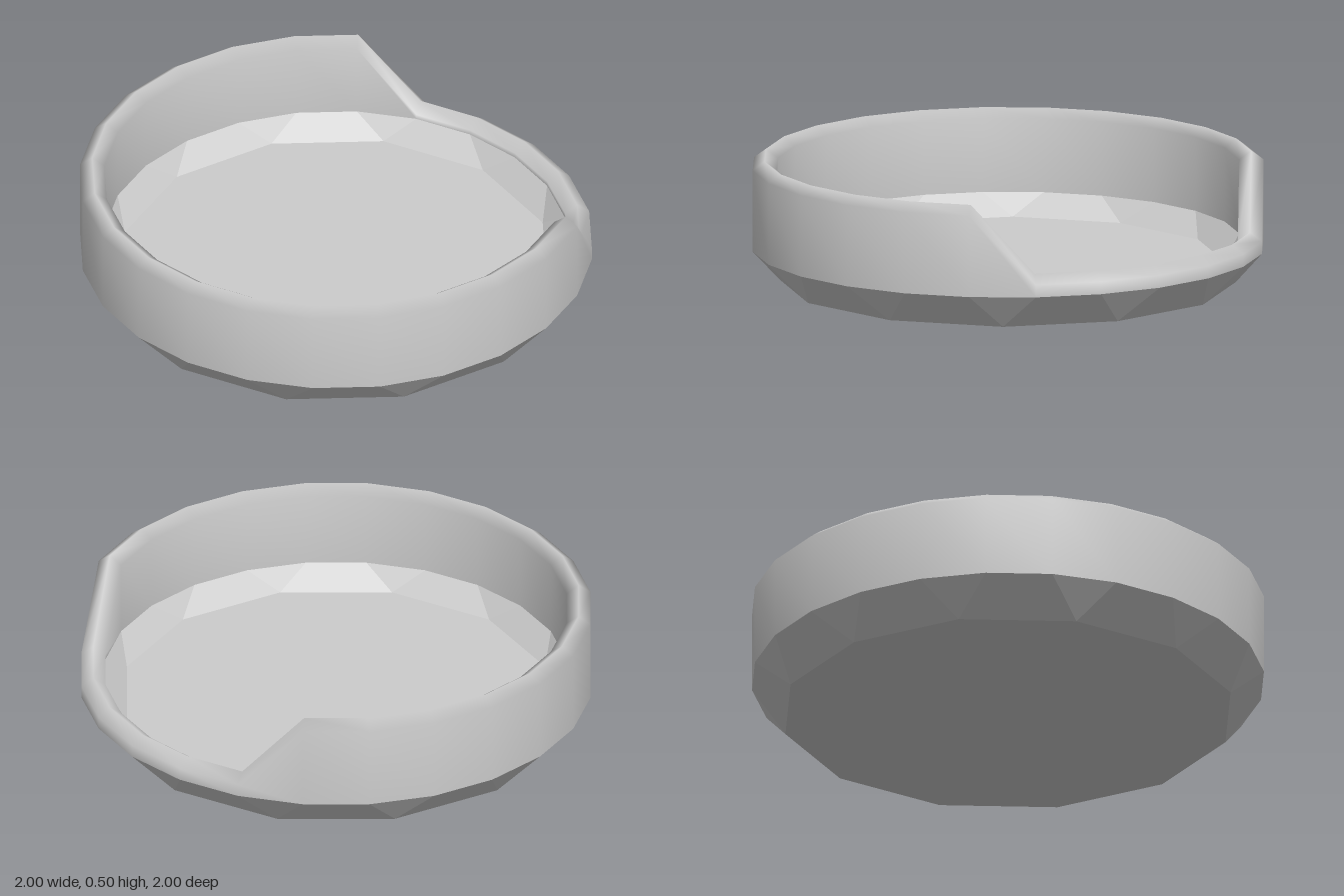
import * as THREE from 'three';

const STEP = Math.PI / 12;
const material = new THREE.MeshStandardMaterial({ color: 0xcccccc });

// Point on a circle; the angle runs from +x towards +z
const polar = (r, y, a) => [r * Math.cos(a), y, r * Math.sin(a)];

// Rim height of each of the 24 columns: low at the entrance, high elsewhere
const rimHeight = (i) => (i <= 3 || i >= 22 ? 0.225 : 0.5);

function mesh(name, geometry) {
  const m = new THREE.Mesh(geometry, material);
  m.name = name;
  return m;
}

// Smooth wall with a rounded rim: outer face, rim, inner face
function wallGeometry() {
  const pos = [], index = [], n = 5;
  for (let i = 0; i < 24; i++) {
    const a = (i + 0.5) * STEP, h = rimHeight(i);
    const profile = [[1.0086, 0.14], [1.0086, h - 0.035], [0.961, h], [0.913, h - 0.035], [0.913, 0.17]];
    for (const [r, y] of profile) pos.push(...polar(r, y, a));
    for (let j = 0; j < n - 1; j++) {
      const p = i * n + j, q = ((i + 1) % 24) * n + j;
      index.push(p, p + 1, q + 1, p, q + 1, q);
    }
  }
  const g = new THREE.BufferGeometry();
  g.setAttribute('position', new THREE.Float32BufferAttribute(pos, 3));
  g.setIndex(index);
  g.computeVertexNormals();
  return g;
}

// Flat facets joining a 12-sided lower ring to the 24-sided wall
function facetGeometry(rLow, yLow, rHigh, yHigh, inward) {
  const pos = [];
  const tri = (a, b, c) => pos.push(...a, ...(inward ? c : b), ...(inward ? b : c));
  for (let k = 0; k < 12; k++) {
    const low = (s) => polar(rLow, yLow, (2 * k + s) * STEP);
    const high = (s) => polar(rHigh, yHigh, (2 * k + s) * STEP);
    tri(low(0), high(-0.5), high(0.5));
    tri(low(0), high(0.5), high(1.5));
    tri(low(0), high(1.5), low(2));
  }
  const g = new THREE.BufferGeometry();
  g.setAttribute('position', new THREE.Float32BufferAttribute(pos, 3));
  g.computeVertexNormals();
  return g;
}

// Flat 12-sided disc facing up or down
const discGeometry = (r, y, up) =>
  new THREE.CircleGeometry(r, 12).rotateX(up ? -Math.PI / 2 : Math.PI / 2).translate(0, y, 0);

export function createModel() {
  const group = new THREE.Group();
  group.name = 'petBed';
  group.add(
    mesh('wall', wallGeometry()),
    mesh('outerBevel', facetGeometry(0.895, 0, 1.0086, 0.14, false)),
    mesh('innerBevel', facetGeometry(0.85, 0.083, 0.913, 0.17, true)),
    mesh('floor', discGeometry(0.85, 0.083, true)),
    mesh('underside', discGeometry(0.895, 0, false)),
  );
  return group;
}
